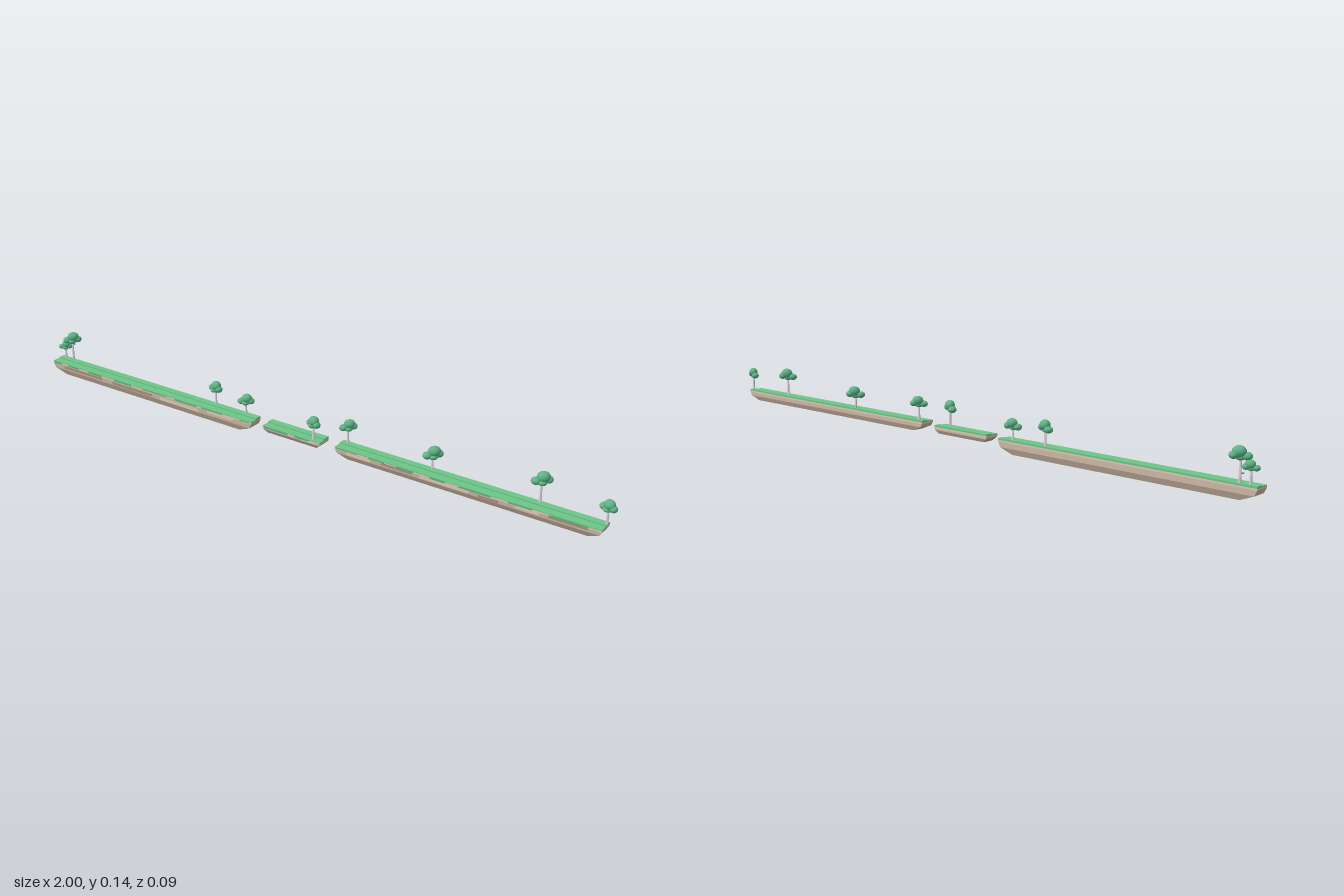
import * as THREE from 'three';

const flat = (color) => new THREE.MeshStandardMaterial({ color, flatShading: true });
const grassMat = flat(0x6cc587), fringeMat = flat(0x5fb07c);
const soilMat = flat(0xcdb9a6), paleMat = flat(0xe0c8b6), underMat = flat(0xb5a392);
const rockMat = flat(0xa8907f), barkMat = flat(0xe0d6e2);
const leafMat = new THREE.MeshStandardMaterial({ color: 0x5fb488 });

let seed = 7;
const rand = () => (seed = (seed * 16807) % 2147483647) / 2147483647;

function add(parent, name, geo, material, x = 0, y = 0, z = 0) {
  const m = new THREE.Mesh(geo, material);
  m.name = name;
  m.position.set(x, y, z);
  parent.add(m);
  return m;
}

// Closed solid from stacked rectangles [y, x0, x1, z0, z1], bottom to top
function stack(layers) {
  const pos = [], idx = [];
  for (const [y, x0, x1, z0, z1] of layers) pos.push(x0, y, z1, x1, y, z1, x1, y, z0, x0, y, z0);
  for (let l = 0; l < layers.length - 1; l++) {
    for (let i = 0; i < 4; i++) {
      const a = l * 4 + i, b = l * 4 + (i + 1) % 4;
      idx.push(a, b, b + 4, a, b + 4, a + 4);
    }
  }
  const t = (layers.length - 1) * 4;
  idx.push(0, 2, 1, 0, 3, 2, t, t + 1, t + 2, t, t + 2, t + 3);
  const g = new THREE.BufferGeometry();
  g.setAttribute('position', new THREE.Float32BufferAttribute(pos, 3));
  g.setIndex(idx);
  const faceted = g.toNonIndexed();
  faceted.computeVertexNormals();
  return faceted;
}

const ZB = -0.015, ZF = 0.033, STEP = 0.007;

function island(name, x0, x1, bottom, top, taper) {
  const g = new THREE.Group();
  g.name = name;
  const h = top - bottom, mid = bottom + h * 0.4, lip = top - 0.010, ledge = top - 0.003;
  // Underside tapering inward, then the soil wall and its pale rim
  add(g, 'underside', stack([
    [bottom, x0 + taper, x1 - taper, ZB + 0.004, ZF - 0.006],
    [mid, x0 + taper * 0.15, x1 - taper * 0.15, ZB, ZF - 0.001],
  ]), underMat);
  add(g, 'soil', stack([
    [mid, x0 + taper * 0.15, x1 - taper * 0.15, ZB, ZF - 0.001],
    [lip, x0, x1, ZB, ZF],
  ]), soilMat);
  add(g, 'rim', stack([[lip, x0, x1, ZB, ZF], [ledge - 0.002, x0, x1, ZB, ZF]]), paleMat);
  // Grass: a low front ledge and a slightly higher back terrace
  add(g, 'frontGrass', stack([[ledge - 0.002, x0, x1, STEP, ZF], [ledge, x0, x1, STEP, ZF]]), grassMat);
  add(g, 'backGrass', stack([[ledge - 0.002, x0, x1, ZB, STEP], [top, x0, x1, ZB, STEP]]), grassMat);
  // Grass tufts hanging over the rim
  for (let x = x0 + 0.005; x < x1 - 0.04;) {
    const w = Math.min(0.03 + rand() * 0.08, x1 - x - 0.005), d = 0.002 + rand() * 0.003;
    add(g, 'grassFringe', new THREE.BoxGeometry(w, d, 0.002), fringeMat, x + w / 2, ledge - 0.002 - d / 2, ZF);
    x += w + 0.02 + rand() * 0.05;
  }
  // Rock plates set into the front wall
  for (let x = x0 + taper; x < x1 - taper - 0.03;) {
    const w = Math.min(0.05 + rand() * 0.13, x1 - taper - x);
    add(g, 'rockPlate', new THREE.BoxGeometry(w, h * 0.2, 0.003),
      rand() < 0.6 ? paleMat : rockMat, x + w / 2, mid + (0.1 + rand() * 0.2) * h, ZF - 0.0008);
    x += w + 0.02 + rand() * 0.05;
  }
  return g;
}

// Crown lobes: centre, then radii
const lobes = [
  [0.004, 0.007, 0, 0.018, 0.015, 0.015],
  [-0.015, -0.004, 0.003, 0.013, 0.010, 0.013],
  [0.017, -0.001, -0.003, 0.012, 0.010, 0.012],
  [0.001, -0.007, 0.004, 0.013, 0.008, 0.013],
];

// Tree: slim trunk, one side branch, and a lopsided crown of rounded lobes
function tree(x, z, base, crownY, size, turn) {
  const g = new THREE.Group();
  g.name = 'tree';
  g.position.set(x, base, z);
  const h = crownY - base;
  add(g, 'trunk', new THREE.CylinderGeometry(0.0026, 0.004, h, 6), barkMat, 0, h / 2, 0);
  add(g, 'branch', new THREE.CylinderGeometry(0.0015, 0.002, 0.02, 5), barkMat, 0.005, h - 0.012, 0).rotation.z = -0.6;
  const crown = new THREE.Group();
  crown.name = 'crown';
  crown.position.y = h;
  crown.rotation.y = turn;
  crown.scale.setScalar(size);
  g.add(crown);
  for (const [lx, ly, lz, sx, sy, sz] of lobes) {
    add(crown, 'leaves', new THREE.SphereGeometry(1, 16, 10), leafMat, lx, ly, lz).scale.set(sx, sy, sz);
  }
  return g;
}

export function createModel() {
  const root = new THREE.Group();
  root.name = 'floatingIslands';
  root.add(
    island('rightIsland', -1, -0.16, 0, 0.043, 0.05),
    island('middleIsland', -0.115, 0.093, 0.021, 0.046, 0.014),
    island('leftIsland', 0.147, 0.975, 0.016, 0.051, 0.04),
  );

  // x, z, ground height, crown height, crown size, turn
  const trees = [
    [-0.974, -0.002, 0.038, 0.088, 0.8, 0.3],
    [-0.948, -0.010, 0.038, 0.116, 1.05, 0.45],
    [-0.33, -0.010, 0.038, 0.097, 1.0, -0.5],
    [-0.21, -0.008, 0.038, 0.086, 0.95, 0.15],
    [0.065, 0.024, 0.04, 0.098, 1.0, -0.6],
    [0.167, -0.006, 0.045, 0.104, 0.95, 0.6],
    [0.45, -0.006, 0.045, 0.098, 1.05, 0.6],
    [0.78, -0.008, 0.045, 0.119, 1.05, 0.45],
    [0.972, -0.002, 0.045, 0.102, 0.95, -0.5],
  ];
  for (const t of trees) root.add(tree(...t));

  // Loose leaf drifting behind the end trees
  add(root, 'looseLeaf', new THREE.SphereGeometry(0.004, 8, 6), leafMat, -0.975, 0.079, -0.044).scale.y = 0.6;
  return root;
}
